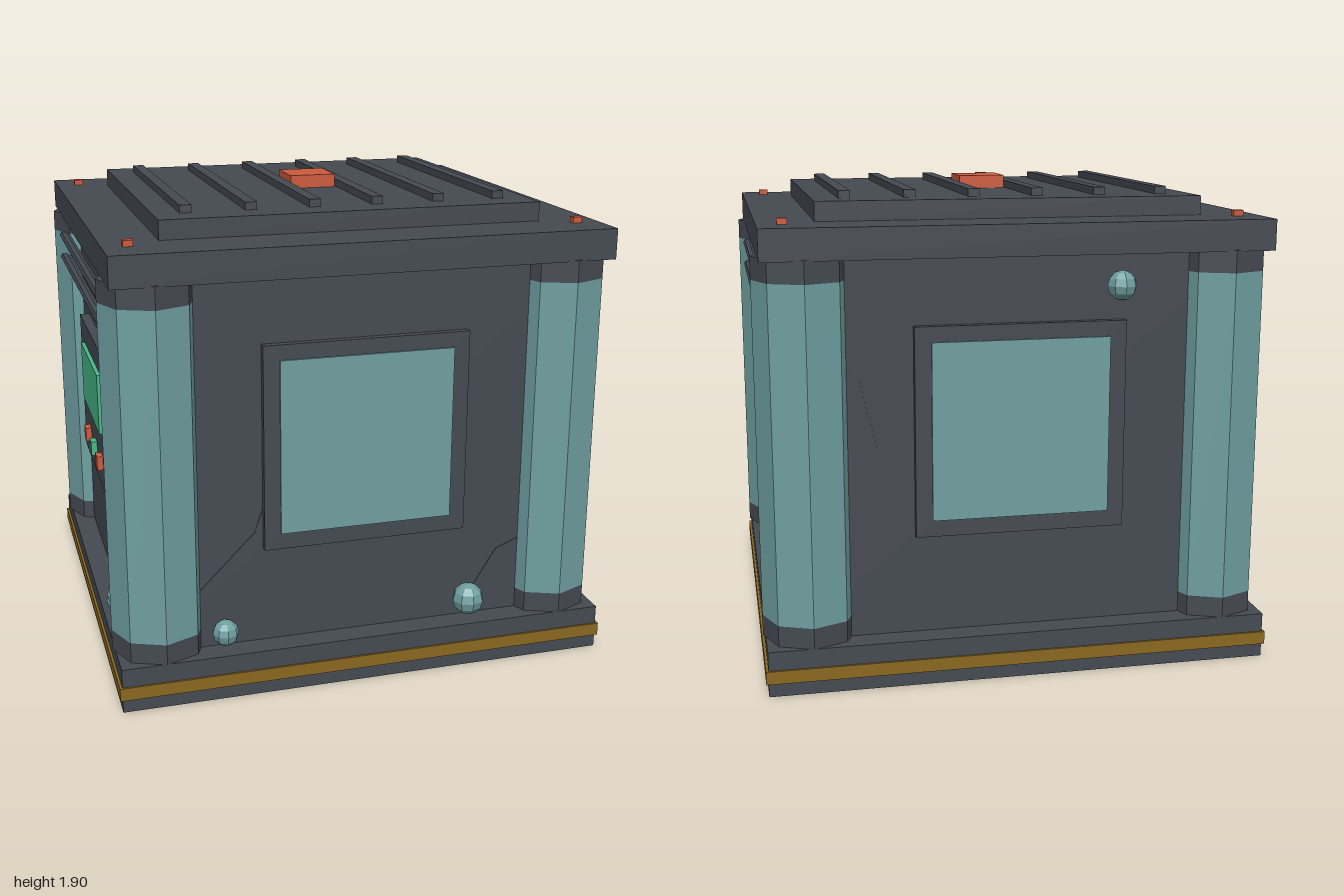
import * as THREE from 'three';

const mat = (name, color, flat = true) => {
  const m = new THREE.MeshStandardMaterial({ color, flatShading: flat });
  m.name = name;
  return m;
};

export function createModel() {
  const dark = mat('dark metal', 0x454a52);
  const teal = mat('pale teal', 0x6f9fa0);
  const orange = mat('signal orange', 0xcc5a3c);
  const ochre = mat('ochre stripe', 0x8a6820);
  const green = mat('screen green', 0x48b889);

  const model = new THREE.Group();
  model.name = 'crate';
  const add = (name, geo, material, x = 0, y = 0, z = 0, parent = model) => {
    const mesh = new THREE.Mesh(geo, material);
    mesh.name = name;
    mesh.position.set(x, y, z);
    parent.add(mesh);
    return mesh;
  };
  // Box given by its width, depth and its bottom and top heights
  const slab = (name, material, w, d, y0, y1, x = 0, z = 0) =>
    add(name, new THREE.BoxGeometry(w, y1 - y0, d), material, x, (y0 + y1) / 2, z);

  // Base, body and stepped lid
  slab('base', dark, 1.98, 1.86, 0, 0.18);
  slab('baseStripe', ochre, 2, 1.876, 0.053, 0.105);
  slab('body', dark, 1.8, 1.66, 0.18, 1.65);
  slab('lid', dark, 1.95, 1.85, 1.65, 1.77);
  slab('lidPlate', dark, 1.51, 1.38, 1.77, 1.845);
  for (let i = 0; i < 6; i++) {
    slab('lidRib', dark, 0.046, 1.13, 1.845, 1.875, (i - 2.5) * 0.252, 0);
  }
  slab('beacon', orange, 0.19, 0.19, 1.845, 1.898);

  // Corner pillars with caps, and corner lights
  const post = (name, material, y0, y1, x, z) => {
    const geo = new THREE.CylinderGeometry(0.185, 0.185, y1 - y0, 8);
    add(name, geo, material, x, (y0 + y1) / 2, z);
  };
  for (const sx of [-1, 1]) {
    for (const sz of [-1, 1]) {
      const x = sx * 0.815, z = sz * 0.75;
      post('pillar', teal, 0.263, 1.568, x, z);
      post('pillarFoot', dark, 0.18, 0.263, x, z);
      post('pillarCap', dark, 1.568, 1.655, x, z);
      slab('cornerLight', orange, 0.038, 0.03, 1.77, 1.793, sx * 0.88, sz * 0.76);
    }
  }

  // Windows on front and back
  for (const s of [-1, 1]) {
    slab('windowFrame', dark, 0.82, 0.05, 0.572, 1.39, 0, s * 0.835);
    slab('windowPane', teal, 0.692, 0.008, 0.637, 1.33, 0, s * 0.863);
  }

  // Pairs of pipes running between the pillars on both sides
  for (const s of [-1, 1]) {
    for (const y of [1.45, 1.55]) {
      const pipe = add('sidePipe', new THREE.CylinderGeometry(0.022, 0.022, 1.5, 8), dark, s * 0.96, y, 0);
      pipe.rotation.x = Math.PI / 2;
    }
  }

  // Door with hand wheel on the left side
  slab('doorFrame', dark, 0.04, 0.694, 0.288, 1.293, 0.902, 0);
  slab('doorPanel', dark, 0.02, 0.612, 0.329, 1.248, 0.925, 0);
  const wheel = new THREE.Group();
  wheel.name = 'handWheel';
  wheel.position.set(0.962, 0.79, 0);
  wheel.rotation.y = Math.PI / 2;
  model.add(wheel);
  add('wheelRim', new THREE.TorusGeometry(0.122, 0.014, 6, 8), dark, 0, 0, 0, wheel);
  for (const a of [0, Math.PI / 2]) {
    add('wheelSpoke', new THREE.BoxGeometry(0.24, 0.016, 0.016), dark, 0, 0, 0, wheel).rotation.z = a;
  }
  const axle = add('wheelAxle', new THREE.CylinderGeometry(0.012, 0.012, 0.04, 8), dark, 0, 0, -0.018, wheel);
  axle.rotation.x = Math.PI / 2;

  // Control panel on the right side
  slab('controlPanel', dark, 0.05, 0.8, 0.63, 1.245, -0.915, 0);
  slab('screen', green, 0.016, 0.53, 0.9, 1.15, -0.948, 0);
  [-0.19, 0, 0.19].forEach((z, i) => {
    slab('button', i === 1 ? green : orange, 0.03, 0.055, 0.725, 0.785, -0.95, z);
  });

  // Faceted growths on the walls: x, y, z, radius
  const growths = [
    [-0.57, 0.245, 0.86, 0.052], [0.44, 0.26, 0.865, 0.065],
    [-0.387, 1.525, -0.865, 0.058],
    [-0.93, 0.335, 0.59, 0.062], [-0.93, 0.243, 0.458, 0.05],
  ];
  for (const [x, y, z, r] of growths) {
    add('growth', new THREE.SphereGeometry(r, 8, 6), teal, x, y, z);
  }

  // Thin cracks on the walls
  const crack = (z, points) => {
    for (let i = 1; i < points.length; i++) {
      const [x0, y0] = points[i - 1], [x1, y1] = points[i];
      const length = Math.hypot(x1 - x0, y1 - y0);
      const strip = add('crack', new THREE.BoxGeometry(length, 0.006, 0.006), dark, (x0 + x1) / 2, (y0 + y1) / 2, z);
      strip.rotation.z = Math.atan2(y1 - y0, x1 - x0);
    }
  };
  crack(0.83, [[-0.41, 0.73], [-0.44, 0.64], [-0.67, 0.41]]);
  crack(0.83, [[0.67, 0.49], [0.57, 0.45], [0.47, 0.29]]);
  crack(-0.83, [[0.677, 1.31], [0.613, 1.187], [0.549, 0.927]]);

  return model;
}
